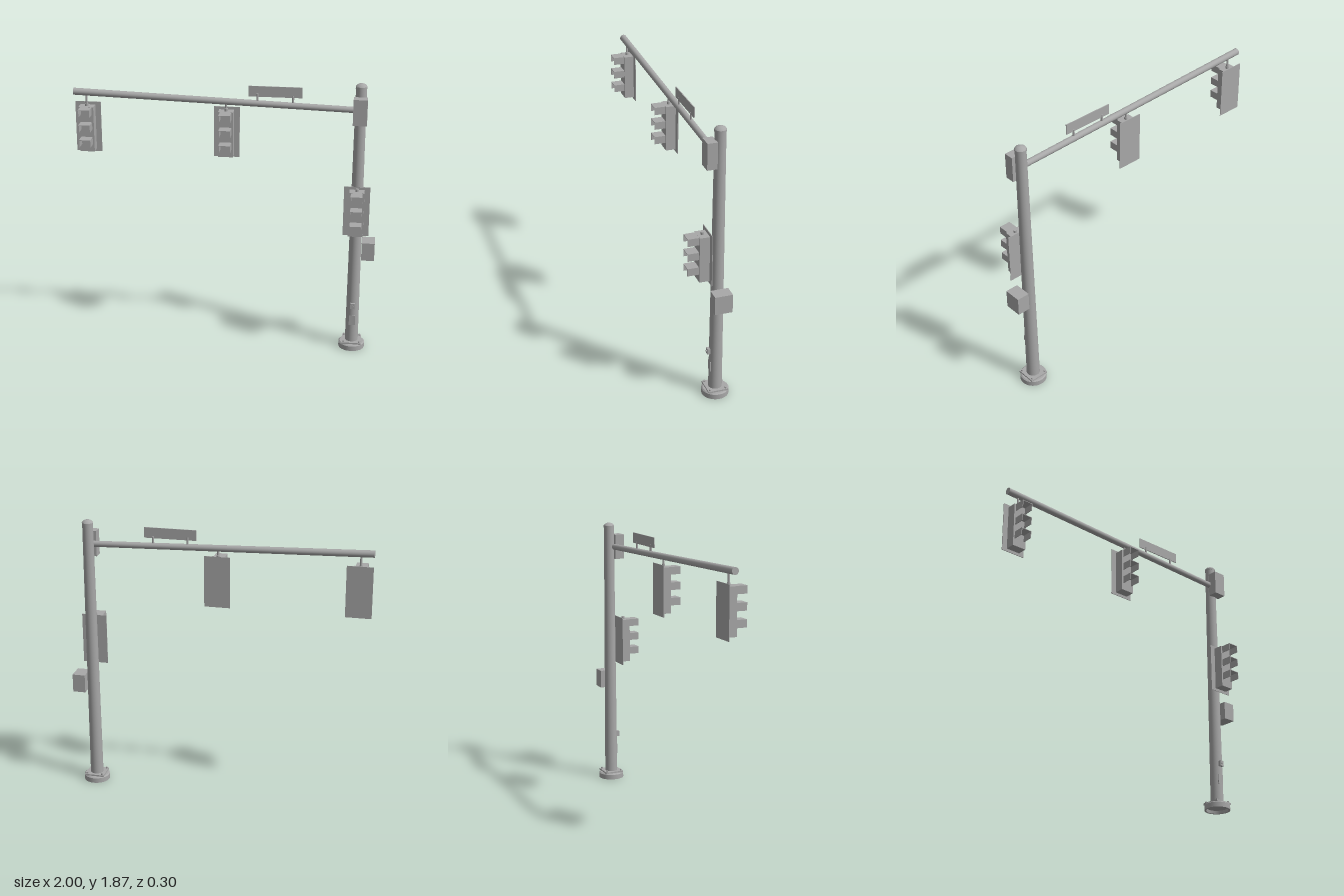
import * as THREE from 'three';

const POLE_X = 0.87, POLE_Z = -0.06, ARM_Z = -0.032;

export function createModel() {
  const model = new THREE.Group();
  model.name = 'trafficSignalPole';
  const steel = new THREE.MeshStandardMaterial({ color: 0xa8a8a8 });
  steel.name = 'grey steel';

  const add = (parent, name, geometry, x = 0, y = 0, z = 0) => {
    const mesh = new THREE.Mesh(geometry, steel);
    mesh.name = name;
    mesh.position.set(x, y, z);
    parent.add(mesh);
    return mesh;
  };
  const box = (parent, name, w, h, d, x, y, z) =>
    add(parent, name, new THREE.BoxGeometry(w, h, d), x, y, z);
  const rod = (parent, name, rTop, rBottom, h, x, y, z, sides = 16) =>
    add(parent, name, new THREE.CylinderGeometry(rTop, rBottom, h, sides), x, y, z);
  const lathe = (parent, name, points, x, y, z) =>
    add(parent, name, new THREE.LatheGeometry(points.map(p => new THREE.Vector2(...p)), 32), x, y, z);

  // Footing: chamfered disc with a recessed underside
  const base = new THREE.Group();
  base.name = 'base';
  base.position.set(POLE_X, 0, POLE_Z);
  model.add(base);
  // Doubled points keep the profile corners sharp
  lathe(base, 'footing', [
    [0, 0.02], [0.072, 0.02], [0.072, 0.02], [0.076, 0], [0.076, 0], [0.088, 0], [0.088, 0],
    [0.088, 0.034], [0.088, 0.034], [0.08, 0.041], [0.08, 0.041], [0, 0.041],
  ], 0, 0, 0);
  box(base, 'basePlate', 0.132, 0.012, 0.132, 0, 0.045, 0);
  for (const sx of [-1, 1]) for (const sz of [-1, 1]) {
    rod(base, 'anchorBolt', 0.007, 0.007, 0.012, sx * 0.053, 0.056, sz * 0.053, 6);
  }

  // Tapered pole and domed cap
  rod(model, 'pole', 0.035, 0.044, 1.8, POLE_X, 0.94, POLE_Z, 32);
  lathe(model, 'poleCap', [
    [0, 0], [0.037, 0], [0.037, 0], [0.037, 0.014], [0.037, 0.014],
    [0.03, 0.024], [0.017, 0.031], [0, 0.034],
  ], POLE_X, 1.836, POLE_Z);

  // Pole fittings
  box(model, 'handholeCover', 0.042, 0.07, 0.012, POLE_X, 0.211, -0.023);
  box(model, 'pushButtonHousing', 0.03, 0.038, 0.022, POLE_X, 0.323, -0.011);
  rod(model, 'pushButton', 0.007, 0.007, 0.006, POLE_X, 0.323, 0.002, 12).rotation.x = Math.PI / 2;
  box(model, 'controlCabinet', 0.086, 0.124, 0.116, 0.957, 0.729, -0.058);
  box(model, 'armClampBox', 0.09, 0.172, 0.065, POLE_X, 1.7, 0.0025);

  // Mast arm rises gently towards its free end
  const armY = x => 1.699 - (x - POLE_X) * 0.0305;
  const start = new THREE.Vector3(POLE_X, armY(POLE_X), ARM_Z);
  const end = new THREE.Vector3(-0.999, armY(-0.999), ARM_Z);
  const dir = end.clone().sub(start);
  const arm = rod(model, 'mastArm', 0.023, 0.02, dir.length(), 0, 0, 0, 24);
  arm.position.copy(start).add(end).multiplyScalar(0.5);
  arm.quaternion.setFromUnitVectors(new THREE.Vector3(0, 1, 0), dir.normalize());

  // Three-section signal head, origin at the centre of its body
  const signalHead = (name, x, y, z) => {
    const head = new THREE.Group();
    head.name = name;
    head.position.set(x, y, z);
    model.add(head);
    box(head, 'housing', 0.098, 0.305, 0.065, 0, 0, 0);
    box(head, 'backplate', 0.17, 0.342, 0.004, 0, 0, -0.036);
    rod(head, 'topHub', 0.011, 0.011, 0.018, 0, 0.161, 0);
    for (const i of [-1, 0, 1]) {
      // Visor is a hood with a top and two sides, open below
      const visor = new THREE.Group();
      visor.name = 'visor';
      visor.position.set(0, 0.127 + (i - 1) * 0.102, 0.069);
      head.add(visor);
      box(visor, 'visorTop', 0.076, 0.004, 0.074, 0, 0.023, 0);
      for (const s of [-1, 1]) box(visor, 'visorSide', 0.004, 0.048, 0.074, s * 0.036, -0.001, 0);
    }
    return head;
  };

  // Two heads hang from the arm, one stands on the pole
  for (const [name, x] of [['outerSignal', -0.915], ['middleSignal', 0.005]]) {
    signalHead(name, x, 1.508, ARM_Z);
    const top = armY(x);
    rod(model, 'hanger', 0.007, 0.007, top - 1.66, x, (top + 1.66) / 2, ARM_Z);
  }
  signalHead('poleSignal', POLE_X, 1.019, 0.042);

  // Street sign panel on two short posts
  box(model, 'signPanel', 0.346, 0.07, 0.006, 0.323, 1.8, ARM_Z);
  for (const x of [0.208, 0.438]) {
    rod(model, 'signPost', 0.007, 0.007, 0.06, x, armY(x) + 0.036, ARM_Z, 10);
  }

  return model;
}
